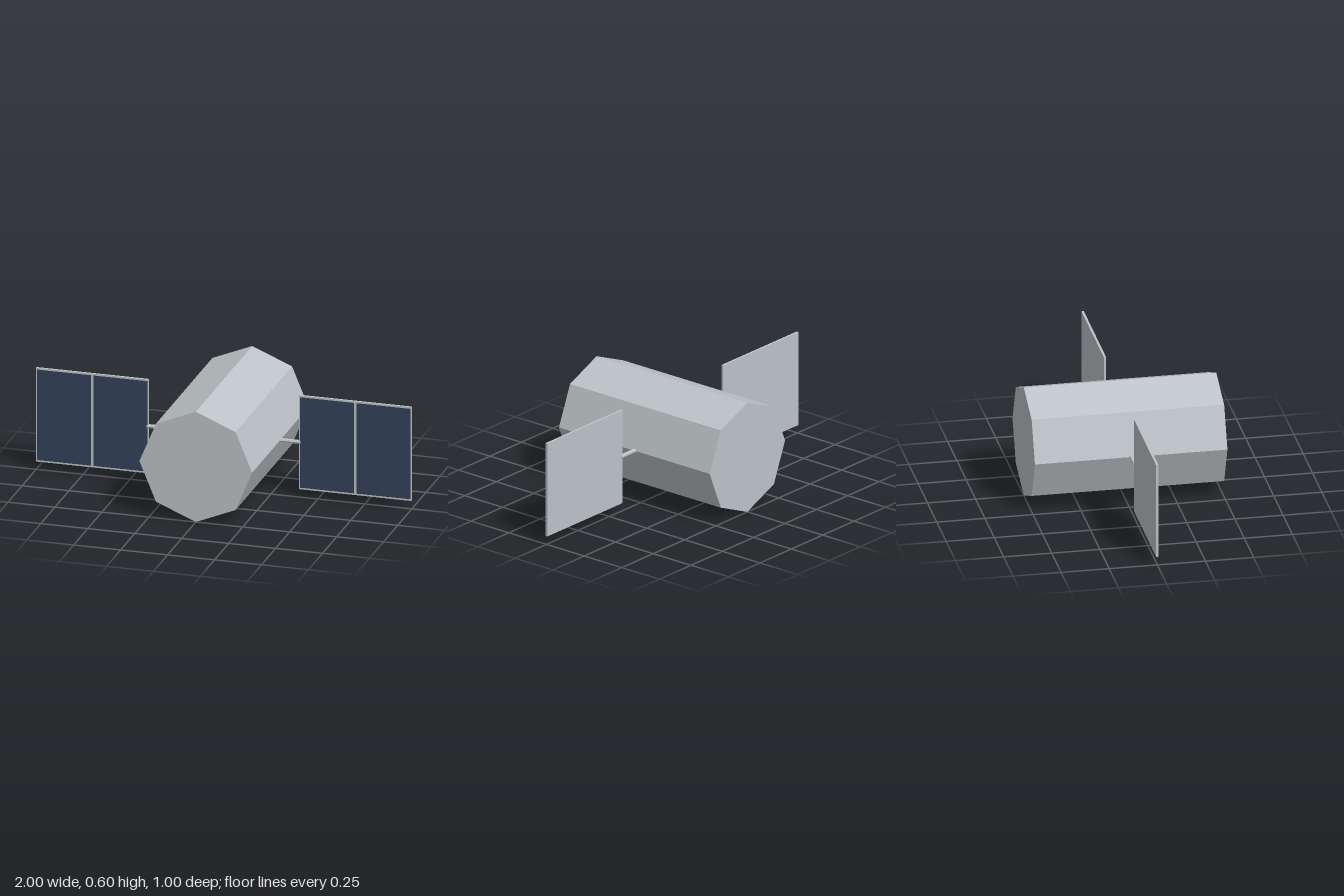
import * as THREE from 'three';

export function createModel() {
  const model = new THREE.Group();
  model.name = 'satellite';
  const hullGrey = new THREE.MeshStandardMaterial({ color: 0xbdc3c7, flatShading: true });
  hullGrey.name = 'hull grey';
  const cellBlue = new THREE.MeshStandardMaterial({ color: 0x33425a, flatShading: true });
  cellBlue.name = 'solar cell blue';

  const add = (name, geometry, material, parent, x = 0, y = 0, z = 0) => {
    const mesh = new THREE.Mesh(geometry, material);
    mesh.name = name;
    mesh.position.set(x, y, z);
    parent.add(mesh);
    return mesh;
  };

  // Octagonal hull lying along z, with an edge at the very top
  add('hull', new THREE.CylinderGeometry(0.3, 0.3, 1, 8).rotateX(Math.PI / 2), hullGrey, model, 0, 0.3, 0);

  // One solar wing on each side
  for (const side of [1, -1]) {
    const wing = new THREE.Group();
    wing.name = side > 0 ? 'leftWing' : 'rightWing';
    wing.position.y = 0.3;
    model.add(wing);

    // Thin strut from the hull to the panel
    add('strut', new THREE.CylinderGeometry(0.011, 0.011, 0.14, 8).rotateZ(Math.PI / 2),
      hullGrey, wing, side * 0.34);

    // Panel with two cell plates on its front face
    add('panel', new THREE.BoxGeometry(0.6, 0.51, 0.012), hullGrey, wing, side * 0.7);
    for (const offset of [-0.15, 0.15]) {
      add('solarCells', new THREE.BoxGeometry(0.287, 0.492, 0.002), cellBlue, wing,
        side * 0.7 + offset, 0, 0.006);
    }
  }
  return model;
}
